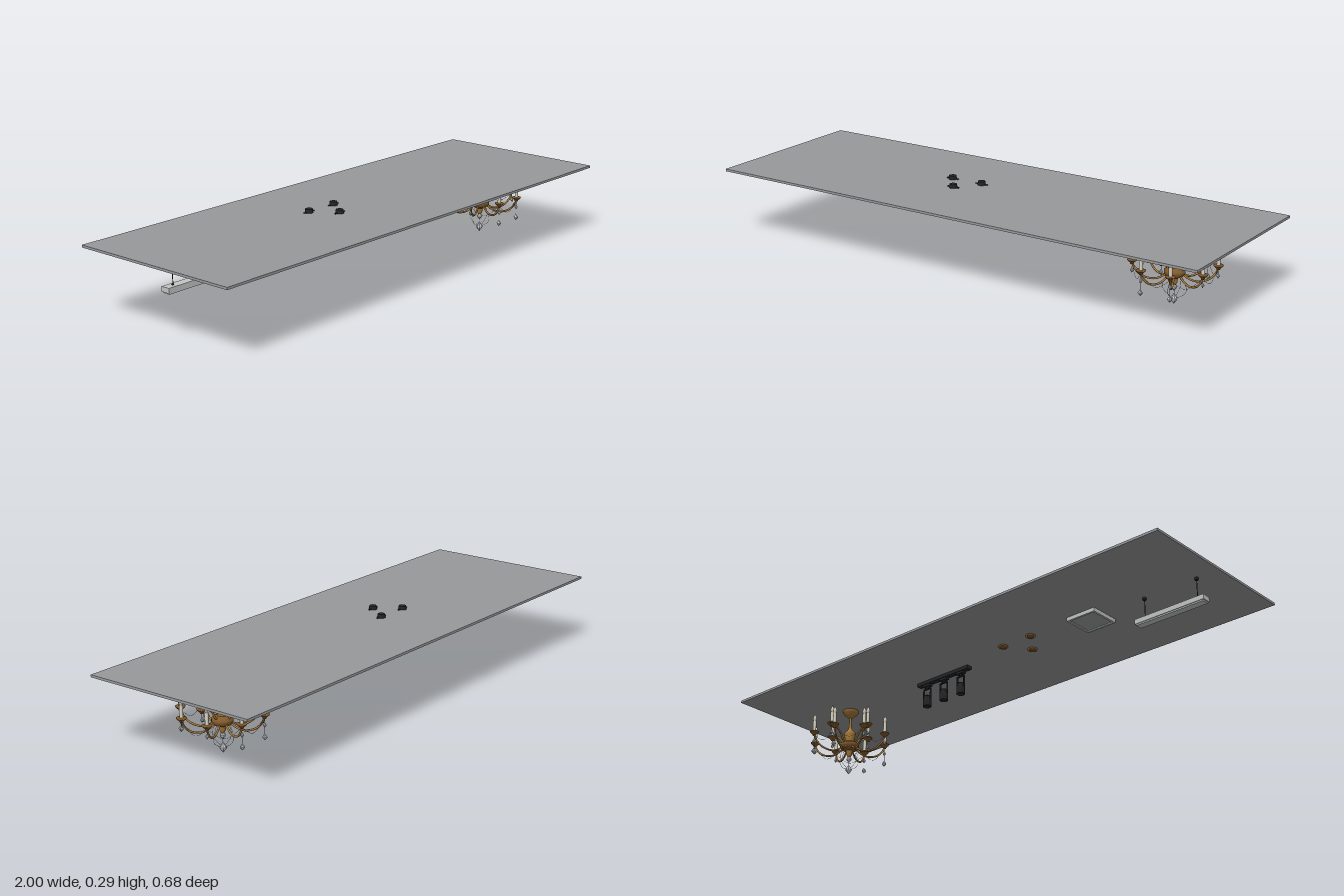
import * as THREE from 'three';

const mat = (name, color, opts = {}) => {
  const m = new THREE.MeshStandardMaterial({ color, ...opts });
  m.name = name;
  return m;
};
const V = (x, y, z = 0) => new THREE.Vector3(x, y, z);

export function createModel() {
  const root = new THREE.Group();
  root.name = 'ceilingLights';
  const slabGrey = mat('slabGrey', 0x98999b);
  const brass = mat('brass', 0xa87a3c);
  const bronze = mat('bronze', 0x80592b);
  const ivory = mat('ivory', 0xd8d2c0);
  const crystal = mat('crystal', 0xc2c6ca, { flatShading: true });
  const chainGrey = mat('chainGrey', 0x85888a);
  const black = mat('black', 0x222426);
  const paleMetal = mat('paleMetal', 0xc4c6c6);
  const diffuser = mat('diffuser', 0x9da0a0);

  const add = (parent, name, geo, material, x = 0, y = 0, z = 0) => {
    const mesh = new THREE.Mesh(geo, material);
    mesh.name = name;
    mesh.position.set(x, y, z);
    parent.add(mesh);
    return mesh;
  };
  const group = (parent, name, x = 0, y = 0, z = 0) => {
    const g = new THREE.Group();
    g.name = name;
    g.position.set(x, y, z);
    parent.add(g);
    return g;
  };
  const box = (w, h, d) => new THREE.BoxGeometry(w, h, d);
  const cyl = (rt, rb, h, n = 20) => new THREE.CylinderGeometry(rt, rb, h, n);
  const lathe = (pts, n = 24) => new THREE.LatheGeometry(pts.map(p => new THREE.Vector2(...p)), n);
  const tube = (pts, r, n = 24, sides = 8) =>
    new THREE.TubeGeometry(new THREE.CatmullRomCurve3(pts), n, r, sides);
  // Faceted drop with its lowest point at y = 0
  const gem = (r, h) => lathe([[0, 0], [r * 0.95, h * 0.38], [r, h * 0.52], [r * 0.25, h * 0.88], [0, h]], 8);

  // Ceiling slab
  add(root, 'ceilingSlab', box(2, 0.009, 0.68), slabGrey, 0, 0.2705, 0);

  // ---- Chandelier ----
  const ch = group(root, 'chandelier', 0.74, 0, 0);
  add(ch, 'canopy', lathe([[0.005, 0.236], [0.012, 0.24], [0.018, 0.247], [0.028, 0.254], [0.031, 0.266]]), brass);
  add(ch, 'stem', cyl(0.005, 0.005, 0.06, 12), brass, 0, 0.212, 0);
  add(ch, 'column', lathe([[0.016, 0.132], [0.018, 0.145], [0.022, 0.166], [0.02, 0.176],
    [0.012, 0.182], [0.007, 0.19], [0.005, 0.2]]), brass);
  add(ch, 'hub', lathe([[0.014, 0.097], [0.029, 0.103], [0.037, 0.113], [0.037, 0.124],
    [0.028, 0.13], [0.016, 0.134]]), bronze);
  add(ch, 'finial', lathe([[0, 0.064], [0.006, 0.072], [0.011, 0.082], [0.011, 0.09], [0.015, 0.099]]), brass);
  add(ch, 'finialCrystal', gem(0.01, 0.034), crystal, 0, 0.047, 0);
  add(ch, 'finialWire', cyl(0.0007, 0.0007, 0.02, 6), chainGrey, 0, 0.042, 0);
  add(ch, 'bottomCrystal', gem(0.0125, 0.041), crystal);

  const cupGeo = lathe([[0, 0], [0.006, 0], [0.008, 0.005], [0.016, 0.012], [0.018, 0.016], [0.007, 0.017], [0, 0.017]], 16);
  const candleGeo = cyl(0.0065, 0.0065, 0.045, 16);
  const bulbGeo = lathe([[0.004, 0], [0.0075, 0.009], [0.0065, 0.016], [0.0025, 0.025], [0, 0.031]], 14);
  const smallGem = gem(0.006, 0.021);
  const largeGem = gem(0.0085, 0.025);

  // An arm runs along its group's +x and ends in a cup with a candle
  const arm = (name, angle, pts, reach, cupY, largeDrop) => {
    const g = group(ch, name);
    g.rotation.y = angle;
    add(g, 'armTube', tube(pts, 0.0037), brass);
    add(g, 'cup', cupGeo, bronze, reach, cupY, 0);
    add(g, 'candle', candleGeo, ivory, reach, cupY + 0.038, 0);
    add(g, 'bulb', bulbGeo, ivory, reach, cupY + 0.06, 0);
    add(g, 'dropWire', cyl(0.0006, 0.0006, 0.014, 6), chainGrey, reach, cupY - 0.006, 0);
    add(g, 'smallCrystal', smallGem, crystal, reach, cupY - 0.033, 0);
    if (largeDrop) {
      add(g, 'longWire', cyl(0.0006, 0.0006, 0.025, 6), chainGrey, reach, cupY - 0.043, 0);
      add(g, 'largeCrystal', largeGem, crystal, reach, cupY - 0.077, 0);
    }
  };
  const lowerPath = [V(0.015, 0.128), V(0.032, 0.106), V(0.07, 0.088), V(0.112, 0.096), V(0.138, 0.12), V(0.147, 0.14)];
  const upperPath = [V(0.015, 0.118), V(0.034, 0.134), V(0.05, 0.16), V(0.074, 0.177), V(0.098, 0.172)];
  const R = 0.147;
  for (let i = 0; i < 8; i++) {
    const a = (i + 0.5) * Math.PI / 4, b = a + Math.PI / 4;
    arm('lowerArm', a, lowerPath, R, 0.136, Math.abs(Math.sin(a)) > 0.7);
    // Chain draped to the next cup
    const p = V(R * Math.cos(a), 0.136, R * Math.sin(a)), q = V(R * Math.cos(b), 0.136, R * Math.sin(b));
    const mid = p.clone().lerp(q, 0.5).setY(0.102);
    add(ch, 'drapedChain', tube([p, mid, q], 0.0006, 12, 5), chainGrey);
  }
  for (let i = 0; i < 4; i++) {
    arm('upperArm', i * Math.PI / 2, upperPath, 0.098, 0.169, false);
    // Wire loop from the hub to the bottom crystal
    const loop = add(ch, 'wireLoop', tube([V(0.03, 0.103), V(0.04, 0.08), V(0.047, 0.062),
      V(0.04, 0.043), V(0.022, 0.03), V(0.005, 0.021)], 0.0006, 16, 5), chainGrey);
    loop.rotation.y = i * Math.PI / 2;
  }

  // ---- Track light with three spots ----
  const track = group(root, 'trackLight', 0.24, 0, 0);
  add(track, 'rail', box(0.256, 0.013, 0.022), black, 0, 0.2595, 0);
  for (const x of [-0.085, 0, 0.085]) {
    const s = group(track, 'spot', x, 0, 0);
    add(s, 'adapter', box(0.036, 0.009, 0.016), black, 0, 0.249, 0);
    add(s, 'swivel', cyl(0.004, 0.004, 0.012, 10), black, 0, 0.241, 0);
    add(s, 'yokeTop', box(0.036, 0.003, 0.008), black, 0, 0.235, 0);
    for (const side of [-1, 1]) add(s, 'yokeSide', box(0.002, 0.044, 0.008), black, side * 0.017, 0.214, 0);
    add(s, 'head', lathe([[0, 0.168], [0.013, 0.168], [0.014, 0.163], [0.016, 0.163], [0.016, 0.19],
      [0.012, 0.207], [0, 0.21]], 20), black);
    for (let i = 0; i < 3; i++) add(s, 'coolingFin', cyl(0.0155 - i * 0.001, 0.0155 - i * 0.001, 0.002), black, 0, 0.193 + i * 0.005, 0);
  }

  // ---- Recessed downlights ----
  for (const [x, z] of [[-0.217, -0.038], [-0.087, -0.038], [-0.152, 0.049]]) {
    const d = group(root, 'downlight', x, 0, z);
    add(d, 'housing', cyl(0.0135, 0.0155, 0.016), black, 0, 0.281, 0);
    for (const side of [-1, 1]) add(d, 'springClip', box(0.012, 0.003, 0.006), black, side * 0.019, 0.2775, 0);
    add(d, 'trimRing', lathe([[0.0125, 0.265], [0.013, 0.262], [0.017, 0.262], [0.0185, 0.266]]), brass);
    add(d, 'reflector', cyl(0.013, 0.013, 0.002), bronze, 0, 0.265, 0);
  }

  // ---- Square panel light ----
  const panel = group(root, 'panelLight', -0.462, 0, 0);
  for (const s of [-1, 1]) {
    add(panel, 'frameSide', box(0.008, 0.014, 0.122), paleMetal, s * 0.057, 0.259, 0);
    add(panel, 'frameEnd', box(0.106, 0.014, 0.008), paleMetal, 0, 0.259, s * 0.057);
  }
  add(panel, 'panelDiffuser', box(0.106, 0.009, 0.106), diffuser, 0, 0.2605, 0);

  // ---- Hanging linear light ----
  const bar = group(root, 'linearPendant', -0.803, 0, 0);
  add(bar, 'barHousing', box(0.284, 0.018, 0.034), paleMetal, 0, 0.178, 0);
  add(bar, 'barDiffuser', box(0.276, 0.005, 0.028), paleMetal, 0, 0.1665, 0);
  for (const x of [-0.108, 0.108]) {
    add(bar, 'ceilingCap', cyl(0.007, 0.007, 0.01, 14), black, x, 0.262, 0);
    add(bar, 'rod', cyl(0.0015, 0.0015, 0.075, 8), black, x, 0.224, 0);
    add(bar, 'rodFoot', cyl(0.004, 0.004, 0.004, 10), black, x, 0.188, 0);
  }
  return root;
}
